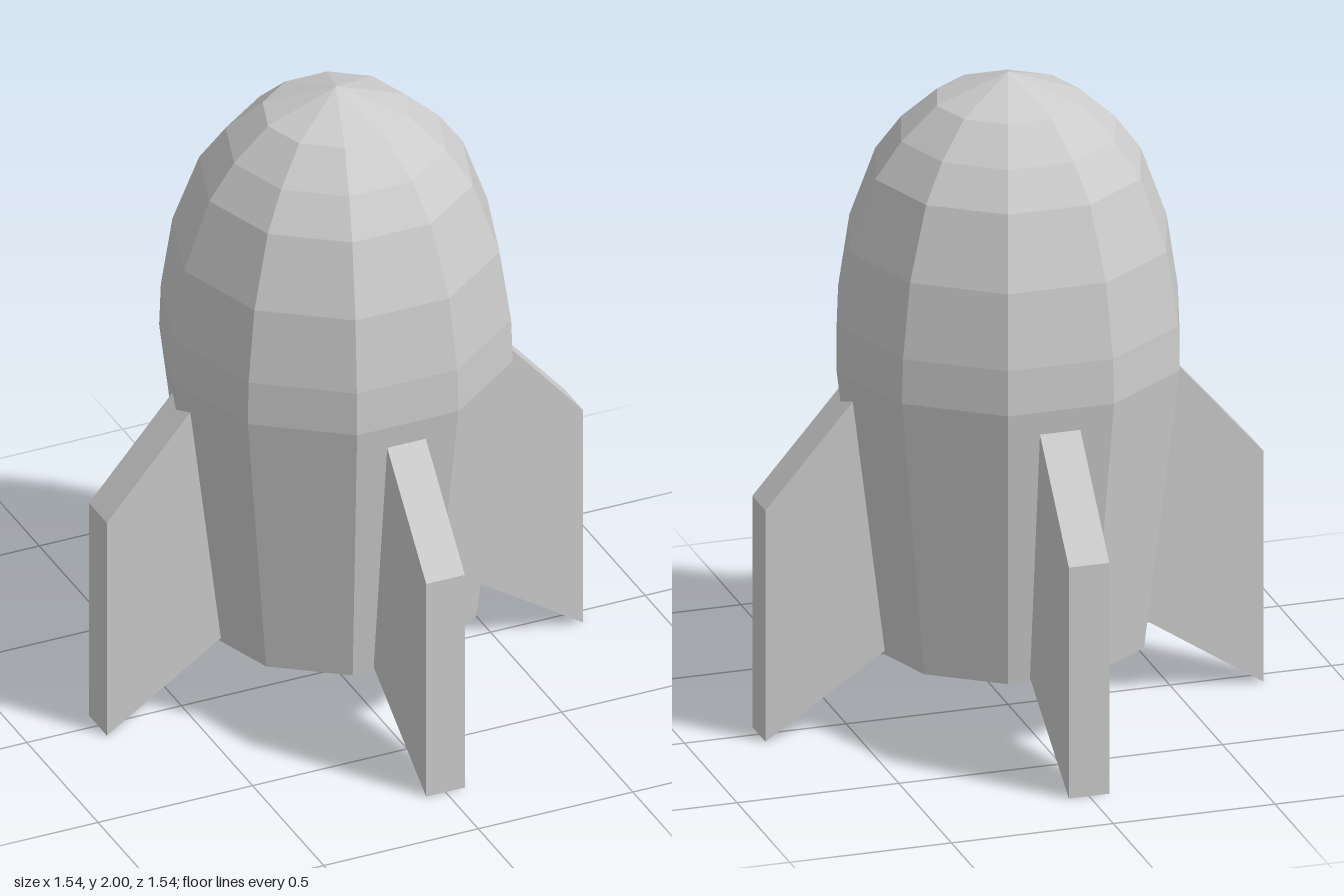
import * as THREE from 'three';

const material = new THREE.MeshStandardMaterial({ color: 0xcccccc, flatShading: true });

// Ten-sided hull, from the recessed nozzle apex outward and up to the nose tip
function makeHull() {
  const profile = [
    [0, 0.4], [0.32, 0.2], [0.42, 0.23], [0.53, 1.12], [0.525, 1.26],
    [0.49, 1.49], [0.41, 1.71], [0.33, 1.82], [0.22, 1.92], [0, 2],
  ].map(([r, y]) => new THREE.Vector2(r, y));
  const hull = new THREE.Mesh(new THREE.LatheGeometry(profile, 10, Math.PI / 2), material);
  hull.name = 'hull';
  return hull;
}

// Swept fin outline in the radial plane, rooted inside the hull
function makeFinGeometry() {
  const thickness = 0.125;
  const outline = new THREE.Shape([
    [0.38, 0.256], [0.77, 0], [0.77, 0.73], [0.38, 1.18],
  ].map(([r, y]) => new THREE.Vector2(r, y)));
  return new THREE.ExtrudeGeometry(outline, { depth: thickness, bevelEnabled: false })
    .translate(0, 0, -thickness / 2);
}

export function createModel() {
  const rocket = new THREE.Group();
  rocket.name = 'rocket';
  rocket.add(makeHull());

  // Four fins, one on each axis
  const finGeometry = makeFinGeometry();
  ['leftFin', 'backFin', 'rightFin', 'frontFin'].forEach((name, i) => {
    const fin = new THREE.Mesh(finGeometry, material);
    fin.name = name;
    fin.rotation.y = i * Math.PI / 2;
    rocket.add(fin);
  });
  return rocket;
}
